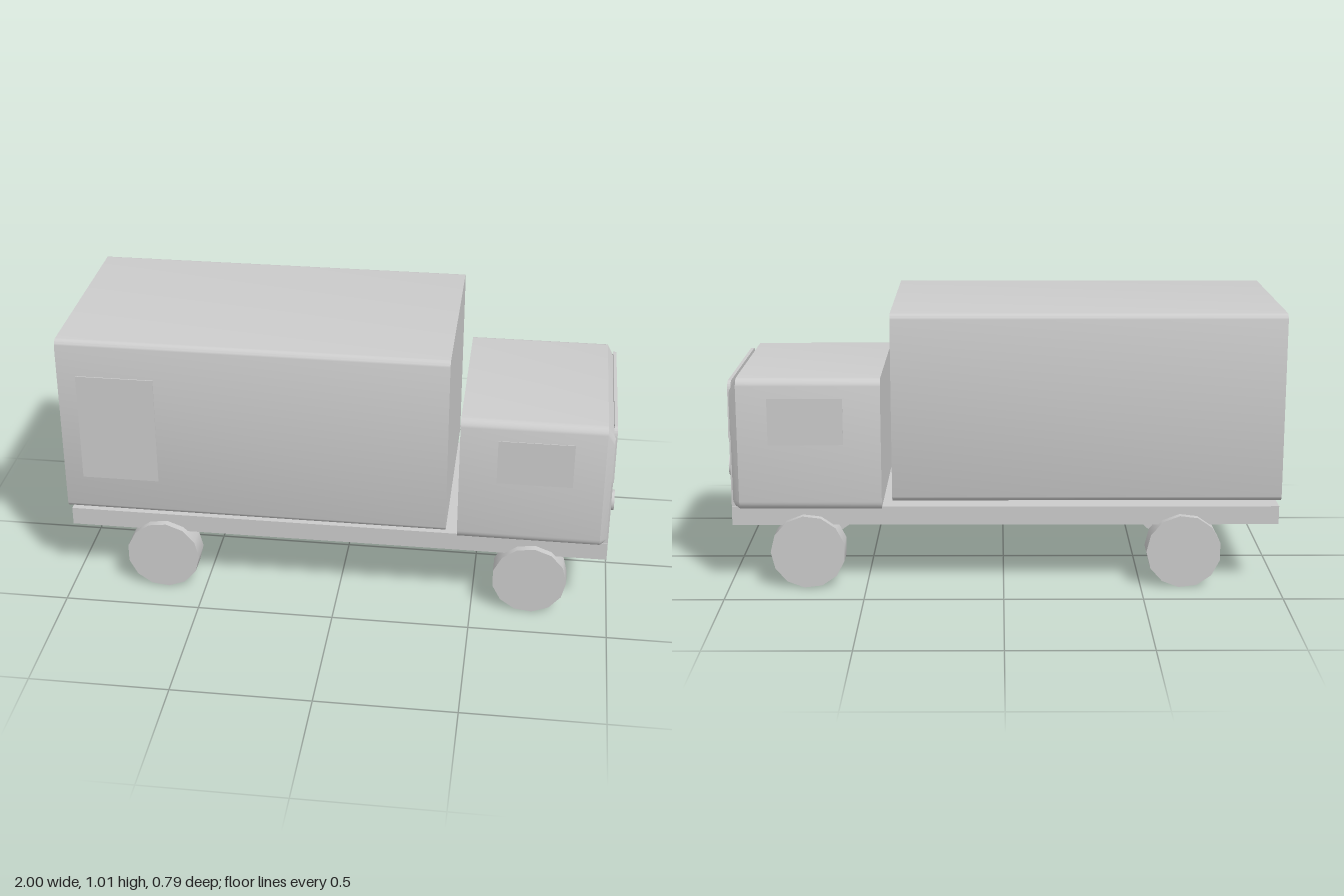
import * as THREE from 'three';
import { toCreasedNormals } from 'three/addons/utils/BufferGeometryUtils.js';

const material = new THREE.MeshStandardMaterial({ color: 0xcccccc });

function add(parent, name, geometry, x = 0, y = 0, z = 0) {
  const mesh = new THREE.Mesh(geometry, material);
  mesh.name = name;
  mesh.position.set(x, y, z);
  parent.add(mesh);
  return mesh;
}

// Box given by its lower and upper corners
function addBox(parent, name, [x0, y0, z0], [x1, y1, z1]) {
  return add(parent, name, new THREE.BoxGeometry(x1 - x0, y1 - y0, z1 - z0),
    (x0 + x1) / 2, (y0 + y1) / 2, (z0 + z1) / 2);
}

// Rounded rectangle across the truck, counter-clockwise seen from the front (+x)
function section(x, halfWidth, y0, y1, r, steps = 6) {
  const ring = [];
  const corners = [[1, y0 + r, -90], [1, y1 - r, 0], [-1, y1 - r, 90], [-1, y0 + r, 180]];
  for (const [side, y, start] of corners) {
    for (let i = 0; i <= steps; i++) {
      const a = THREE.MathUtils.degToRad(start + 90 * i / steps);
      const u = side * (halfWidth - r) + r * Math.cos(a);
      ring.push(new THREE.Vector3(x, y + r * Math.sin(a), -u));
    }
  }
  return ring;
}

// Closed skin through sections ordered from back to front
function loft(sections) {
  const points = [];
  const n = sections[0].length;
  const tri = (a, b, c) => points.push(a, b, c);
  const centre = (ring) => ring.reduce((s, p) => s.add(p), new THREE.Vector3()).divideScalar(n);
  const back = sections[0], front = sections[sections.length - 1];
  const backCentre = centre(back), frontCentre = centre(front);
  for (let i = 0; i < n; i++) {
    const j = (i + 1) % n;
    for (let k = 0; k < sections.length - 1; k++) {
      const a = sections[k], b = sections[k + 1];
      tri(a[i], a[j], b[j]);
      tri(a[i], b[j], b[i]);
    }
    tri(backCentre, back[j], back[i]);
    tri(frontCentre, front[i], front[j]);
  }
  const geometry = new THREE.BufferGeometry().setFromPoints(points);
  return toCreasedNormals(geometry, 0.5);
}

// Tapered windscreen with rounded upper corners
function windscreenGeometry() {
  const s = new THREE.Shape();
  s.moveTo(-0.34, 0.555);
  s.lineTo(0.34, 0.555);
  s.lineTo(0.324, 0.72);
  s.quadraticCurveTo(0.32, 0.76, 0.295, 0.76);
  s.lineTo(-0.295, 0.76);
  s.quadraticCurveTo(-0.32, 0.76, -0.324, 0.72);
  s.closePath();
  const g = new THREE.ExtrudeGeometry(s, { depth: 0.012, bevelEnabled: false, curveSegments: 6 });
  return g.rotateY(Math.PI / 2);
}

export function createModel() {
  const truck = new THREE.Group();
  truck.name = 'truck';

  // Chassis and cargo body
  addBox(truck, 'chassis', [-1, 0.232, -0.342], [0.985, 0.3, 0.342]);
  add(truck, 'cargoBody', loft([
    section(-0.998, 0.392, 0.333, 1.015, 0.025),
    section(0.4, 0.392, 0.333, 1.015, 0.025),
  ]), 0, 0, -0.003);
  addBox(truck, 'cargoSideDoor', [-0.93, 0.47, 0.38], [-0.65, 0.88, 0.393]);
  addBox(truck, 'cargoRearPanel', [-1, 0.745, -0.135], [-0.99, 0.88, 0.135]);

  // Cab with a chamfered nose
  const cab = new THREE.Group();
  cab.name = 'cab';
  truck.add(cab);
  add(cab, 'cabShell', loft([
    section(0.44, 0.358, 0.288, 0.775, 0.035),
    section(0.955, 0.358, 0.288, 0.775, 0.035),
    section(0.982, 0.338, 0.298, 0.73, 0.03),
  ]));
  addBox(cab, 'frontPanel', [0.97, 0.3, -0.34], [0.985, 0.555, 0.34]);
  add(cab, 'windscreen', windscreenGeometry(), 0.976);
  addBox(cab, 'grille', [0.975, 0.333, -0.188], [0.988, 0.486, 0.188]);

  for (const side of [-1, 1]) {
    const label = side > 0 ? 'left' : 'right';
    add(cab, label + 'SideWindow', new THREE.BoxGeometry(0.27, 0.17, 0.006), 0.71, 0.62, side * 0.358);

    // Headlights
    const lamp = new THREE.CylinderGeometry(0.037, 0.037, 0.03, 32).rotateZ(-Math.PI / 2);
    add(cab, label + 'Headlight', lamp, 0.983, 0.435, side * 0.256);

    // Wheels
    for (const [end, x] of [['Rear', -0.655], ['Front', 0.71]]) {
      const wheel = new THREE.CylinderGeometry(0.136, 0.136, 0.086, 13);
      wheel.rotateY(Math.PI / 2).rotateX(Math.PI / 2);
      add(truck, label + end + 'Wheel', wheel, x, 0.136, side * 0.326);
    }
  }
  return truck;
}
